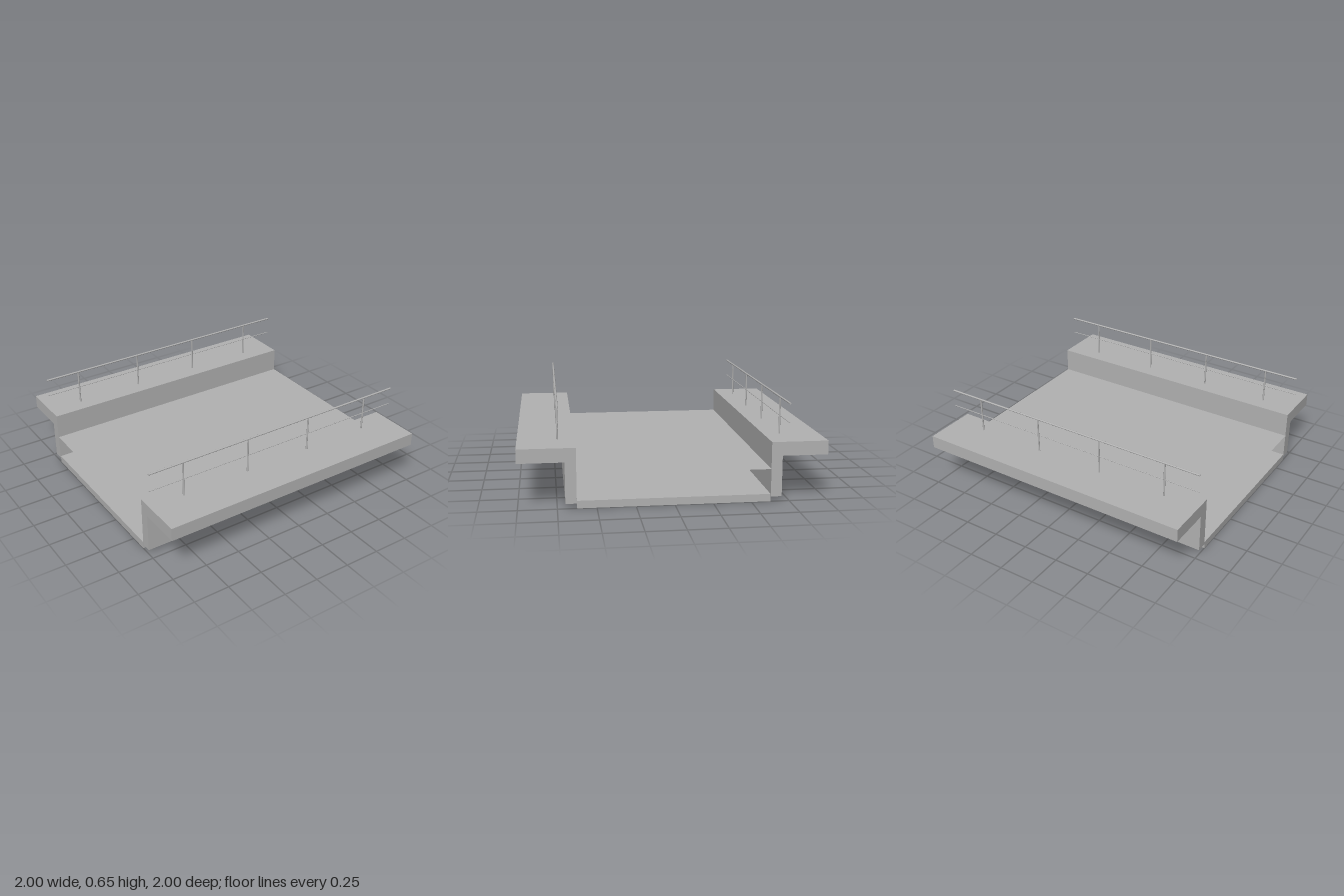
import * as THREE from 'three';

export function createModel() {
  const model = new THREE.Group();
  const concrete = new THREE.MeshStandardMaterial({ color: 0xb2b2b2, side: THREE.DoubleSide });
  concrete.name = 'light grey';

  const add = (parent, name, geometry, x = 0, y = 0, z = 0) => {
    const mesh = new THREE.Mesh(geometry, concrete);
    mesh.name = name;
    mesh.position.set(x, y, z);
    parent.add(mesh);
    return mesh;
  };

  // Channel floor and the water sheet above it
  add(model, 'floorSlab', new THREE.BoxGeometry(2, 0.05, 1.25), 0, 0.025, 0);
  add(model, 'waterSurface', new THREE.PlaneGeometry(2, 1.255), 0, 0.216, 0).rotation.x = -Math.PI / 2;

  // L-shaped bank section: upright wall with a walkway reaching outwards
  const section = new THREE.Shape([
    [0.627, 0.032], [0.699, 0.032], [0.699, 0.302], [1, 0.302], [1, 0.394], [0.627, 0.394],
  ].map(([z, y]) => new THREE.Vector2(z, y)));
  const bankGeometry = new THREE.ExtrudeGeometry(section, { depth: 2, bevelEnabled: false })
    .translate(0, 0, -1)
    .rotateY(-Math.PI / 2);

  // Railing geometry
  const rail = (radius) => new THREE.CylinderGeometry(radius, radius, 2, 10).rotateZ(Math.PI / 2);
  const handrail = rail(0.0065);
  const midRail = rail(0.003);
  const post = new THREE.CylinderGeometry(0.006, 0.006, 0.25, 10);

  // The two banks are half-turn copies of each other
  for (const [name, angle] of [['frontBank', 0], ['backBank', Math.PI]]) {
    const bank = new THREE.Group();
    bank.name = name;
    bank.rotation.y = angle;
    model.add(bank);

    add(bank, 'wallAndWalkway', bankGeometry);
    add(bank, 'handrail', handrail, 0, 0.643, 0.738);
    add(bank, 'midRail', midRail, 0, 0.518, 0.738);
    for (const x of [-0.75, -0.25, 0.25, 0.75]) add(bank, 'railPost', post, x, 0.518, 0.738);
  }

  return model;
}
